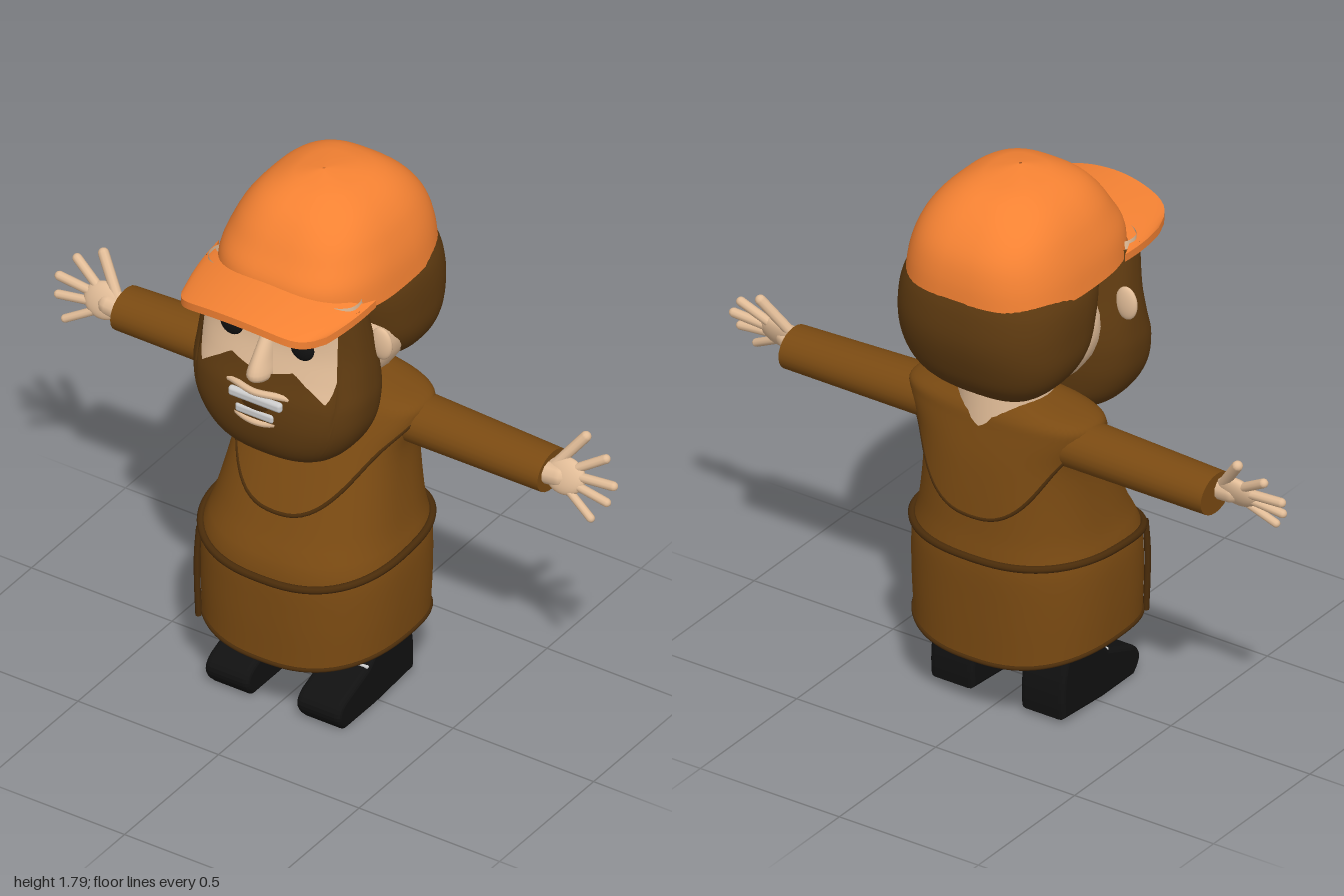
import * as THREE from 'three';
import { RoundedBoxGeometry } from 'three/addons/geometries/RoundedBoxGeometry.js';

const mat = (color) => new THREE.MeshStandardMaterial({ color, side: THREE.DoubleSide });
const robeMat = mat(0x7a4a12), hairMat = mat(0x5e3a10), skinMat = mat(0xe2bd98), capMat = mat(0xf58233);
const blackMat = mat(0x111111), whiteMat = mat(0xdddddd), trimMat = mat(0x4a2c0a);
const V = (x, y, z) => new THREE.Vector3(x, y, z);

// Smooth surface through rings [y, front z, back z, half width]; angle 0 faces +z, PI/2 faces +x
function surface(rings, power = 0.8) {
  const slope = (i, k) => {
    const a = rings[Math.max(i - 1, 0)], b = rings[Math.min(i + 1, rings.length - 1)];
    return (b[k] - a[k]) / (b[0] - a[0]);
  };
  const soft = (v) => Math.sign(v) * Math.abs(v) ** power;
  return (y, angle, offset = 0) => {
    let i = 0;
    while (i < rings.length - 2 && y > rings[i + 1][0]) i++;
    const h = rings[i + 1][0] - rings[i][0];
    const t = THREE.MathUtils.clamp((y - rings[i][0]) / h, 0, 1);
    const value = (k) =>
      (1 + 2 * t) * (1 - t) ** 2 * rings[i][k] + t * t * (3 - 2 * t) * rings[i + 1][k] +
      h * (t * (1 - t) ** 2 * slope(i, k) + t * t * (t - 1) * slope(i + 1, k));
    const front = value(1), back = value(2);
    const rx = Math.max(value(3) + offset, 0.001), rz = Math.max((front - back) / 2 + offset, 0.001);
    return V(rx * soft(Math.sin(angle)), y, (front + back) / 2 + rz * soft(Math.cos(angle)));
  };
}

// Skin of a surface between two heights that may depend on the angle
function wrap(f, low, high, offset = 0, around = 64, up = 24) {
  const pos = [], idx = [];
  for (let j = 0; j <= up; j++)
    for (let i = 0; i < around; i++) {
      const a = (i / around) * Math.PI * 2;
      const s = a > Math.PI ? a - 2 * Math.PI : a;
      pos.push(...f(THREE.MathUtils.lerp(low(s), high(s), j / up), a, offset).toArray());
    }
  for (let j = 0; j < up; j++)
    for (let i = 0; i < around; i++) {
      const a = j * around + i, b = j * around + (i + 1) % around;
      idx.push(a, b, b + around, a, b + around, a + around);
    }
  const g = new THREE.BufferGeometry();
  g.setAttribute('position', new THREE.Float32BufferAttribute(pos, 3));
  g.setIndex(idx);
  g.computeVertexNormals();
  return g;
}

const tube = (points, r, closed = false, n = 32) =>
  new THREE.TubeGeometry(new THREE.CatmullRomCurve3(points, closed), n, r, 8, closed);
const around = (fn, n = 48) => Array.from({ length: n }, (_, i) => fn((i / n) * 2 * Math.PI));

export function createModel() {
  const model = new THREE.Group();
  const add = (name, geometry, material, parent = model) => {
    const m = new THREE.Mesh(geometry, material);
    m.name = name;
    parent.add(m);
    return m;
  };
  const ball = (name, material, p, s, parent) => {
    const m = add(name, new THREE.SphereGeometry(1, 24, 16), material, parent);
    m.position.set(...p);
    m.scale.set(...s);
    return m;
  };
  const limb = (name, a, b, r, material, parent) => {
    const d = b.clone().sub(a);
    const m = add(name, new THREE.CapsuleGeometry(r, d.length(), 4, 10), material, parent);
    m.position.copy(a).add(b).multiplyScalar(0.5);
    m.quaternion.setFromUnitVectors(V(0, 1, 0), d.normalize());
    return m;
  };

  // Robe with dipping hem
  const robe = surface([[0.22, 0.28, -0.32, 0.325], [0.4, 0.28, -0.325, 0.333], [0.55, 0.27, -0.325, 0.328],
    [0.63, 0.23, -0.312, 0.305], [0.8, 0.145, -0.297, 0.28], [0.9, 0.09, -0.285, 0.28],
    [1.0, 0.02, -0.265, 0.31], [1.04, -0.01, -0.255, 0.29], [1.08, -0.06, -0.22, 0.13]]);
  const hem = (a) => 0.22 + 0.045 * Math.sin(a) ** 2;
  add('robe', wrap(robe, hem, () => 1.08), robeMat);
  add('hemTrim', tube(around((a) => robe(hem(a), a)), 0.007, true, 96), trimMat);

  // Shoulder cape
  const capeEdge = (a) => 0.705 + 0.3 * Math.sin(a) ** 2;
  add('cape', wrap(robe, capeEdge, () => 1.08, 0.014), robeMat);
  add('capeEdge', tube(around((a) => robe(capeEdge(a), a, 0.01)), 0.007, true, 96), trimMat);

  // Rope belt and hanging cord
  const beltY = (a) => 0.56 - 0.03 * Math.cos(a) - 0.02 * Math.cos(a) ** 2 + 0.01 * Math.sin(a) ** 2;
  add('belt', tube(around((a) => robe(beltY(a), a, 0.006)), 0.012, true, 96), trimMat);
  add('beltCord', tube([0.54, 0.45, 0.35, 0.23].map((y) => robe(y, -0.86, 0.012)), 0.01), trimMat);

  // Face and beard share one surface
  const face = surface([[0.905, 0.16, 0.13, 0.04], [0.93, 0.23, 0.06, 0.14], [0.98, 0.285, -0.01, 0.22],
    [1.07, 0.31, -0.035, 0.28], [1.17, 0.305, -0.04, 0.3], [1.25, 0.28, -0.03, 0.296],
    [1.35, 0.255, 0, 0.285], [1.52, 0.245, 0.05, 0.27]]);
  const edge = [[0, 1.25], [0.3, 1.28], [0.45, 1.25], [0.75, 1.2], [0.88, 1.26], [0.95, 1.5], [4, 1.5]];
  const beardTop = (s) => {
    const a = Math.abs(s), i = edge.findIndex((e) => e[0] > a);
    return THREE.MathUtils.mapLinear(a, edge[i - 1][0], edge[i][0], edge[i - 1][1], edge[i][1]);
  };
  add('face', wrap(face, () => 1.1, () => 1.52, -0.01), skinMat);
  add('beard', wrap(face, () => 0.905, beardTop, 0, 128, 32), hairMat);
  ball('skull', skinMat, [0, 1.27, -0.08], [0.26, 0.2, 0.24]);
  add('neck', new THREE.CylinderGeometry(0.14, 0.15, 0.25, 32), skinMat).position.set(0, 1.12, -0.13);

  // Hair at the back of the head
  const hair = surface([[1.09, -0.2, -0.24, 0.05], [1.11, -0.16, -0.29, 0.14], [1.17, -0.05, -0.36, 0.23],
    [1.25, 0.02, -0.4, 0.28], [1.35, 0.06, -0.425, 0.292], [1.45, 0.085, -0.42, 0.286], [1.52, 0.085, -0.4, 0.26]]);
  add('hair', wrap(hair, () => 1.09, () => 1.52), hairMat);

  // Nose and mouth
  const nose = surface([[1.225, 0.29, 0.27, 0.01], [1.24, 0.325, 0.22, 0.035], [1.26, 0.33, 0.2, 0.038],
    [1.3, 0.31, 0.2, 0.03], [1.38, 0.25, 0.2, 0.02]], 1);
  add('nose', wrap(nose, () => 1.225, () => 1.38, 0, 24, 12), skinMat);
  const lip = [[-0.12, 1.185], [0, 1.198], [0.12, 1.185], [0.085, 1.11], [0, 1.092], [-0.085, 1.11]];
  const bend = (x) => 0.311 - 2.2 * x * x;
  add('lips', tube(lip.map(([x, y]) => V(x, y, bend(x))), 0.011, true, 64), skinMat);
  ball('mouthInside', trimMat, [0, 1.145, 0.27], [0.11, 0.05, 0.042]);
  [[1.168, 0.19], [1.12, 0.14]].forEach(([y, w]) => {
    const g = new RoundedBoxGeometry(w, 0.034, 0.03, 3, 0.012);
    g.scale(1, 1, 1.2);
    add('teeth', g, whiteMat).position.set(0, y, 0.297);
  });

  // Cap dome and button-free crown
  const cap = surface([[1.46, 0.25, -0.412, 0.285], [1.55, 0.245, -0.405, 0.272], [1.62, 0.205, -0.385, 0.25],
    [1.68, 0.165, -0.345, 0.22], [1.73, 0.115, -0.29, 0.175], [1.765, 0.05, -0.225, 0.115],
    [1.785, -0.01, -0.13, 0.055], [1.79, -0.055, -0.065, 0.004]], 0.72);
  add('capCrown', wrap(cap, (a) => 1.485 - 0.015 * Math.sin(a) ** 2, () => 1.79), capMat);

  // Curved brim, a bent slab
  const brim = new THREE.BoxGeometry(2, 1, 1, 32, 1, 12);
  const bp = brim.attributes.position;
  for (let i = 0; i < bp.count; i++) {
    const u = bp.getX(i), v = bp.getZ(i) + 0.5, t = bp.getY(i);
    const inner = 0.08 + 0.13 * Math.sqrt(1 - u * u), outer = 0.43 - 0.045 * u * u - 0.085 * u ** 10;
    bp.setXYZ(i, u * (0.28 - 0.03 * v * v),
      1.54 - 0.02 * v - 0.05 * u * u + t * 0.025, THREE.MathUtils.lerp(inner, outer, v));
  }
  brim.computeVertexNormals();
  add('capBrim', brim, capMat);

  // Shoe side outline (z, y)
  const shoeShape = new THREE.Shape();
  shoeShape.moveTo(-0.17, 0.03);
  shoeShape.lineTo(0.02, 0.015);
  shoeShape.lineTo(0.18, 0.015);
  shoeShape.quadraticCurveTo(0.23, 0.06, 0.18, 0.09);
  shoeShape.quadraticCurveTo(0.1, 0.12, 0.05, 0.14);
  shoeShape.lineTo(-0.02, 0.21);
  shoeShape.lineTo(-0.15, 0.205);
  shoeShape.quadraticCurveTo(-0.18, 0.12, -0.17, 0.03);

  for (const s of [1, -1]) {
    const side = new THREE.Group();
    side.name = s > 0 ? 'leftSide' : 'rightSide';
    model.add(side);

    // Eye, brow and ear
    ball('eye', blackMat, [s * 0.125, 1.36, 0.24], [0.04, 0.04, 0.02], side);
    const brow = add('eyebrow', tube([[0.13, 1.4], [0.25, 1.425], [0.4, 1.432], [0.66, 1.405]]
      .map(([a, y]) => face(y, s * a, -0.004)), 0.015), hairMat, side);
    brow.castShadow = false;
    ball('ear', skinMat, [s * 0.292, 1.345, 0.07], [0.038, 0.055, 0.016], side);

    // Sleeve
    const sleeve = add('sleeve', new THREE.CylinderGeometry(0.066, 0.076, 0.58, 24), robeMat, side);
    sleeve.rotation.z = -s * (Math.PI / 2 + 0.02);
    sleeve.scale.z = 1.22;
    sleeve.position.set(s * 0.47, 0.955, -0.14);

    // Hand, tilted so the thumb lies further back
    const hp = (x, y) => V(s * x, y, -0.125 - 0.42 * (y - 0.98));
    limb('wrist', hp(0.72, 0.955), hp(0.8, 0.96), 0.036, skinMat, side);
    const palm = ball('palm', skinMat, hp(0.82, 0.965).toArray(), [0.07, 0.058, 0.025], side);
    palm.rotation.x = -0.4;
    [[0.775, 0.98, 0.858, 1.09, 0.017], [0.85, 0.995, 0.94, 1.05, 0.015], [0.86, 0.975, 0.985, 0.985, 0.015],
      [0.86, 0.95, 0.975, 0.935, 0.014], [0.84, 0.93, 0.935, 0.877, 0.013]].forEach(([x0, y0, x1, y1, r], i) =>
      limb(i ? 'finger' : 'thumb', hp(x0, y0), hp(x1, y1), r, skinMat, side));

    // Leg, shoe and laces
    add('sock', new THREE.CylinderGeometry(0.062, 0.062, 0.35, 24), whiteMat, side)
      .position.set(s * 0.163, 0.37, -0.095);
    const shoe = new THREE.ExtrudeGeometry(shoeShape,
      { depth: 0.12, bevelThickness: 0.018, bevelSize: 0.013, bevelSegments: 3, curveSegments: 8 });
    shoe.translate(0, 0, -0.06);
    shoe.rotateY(-Math.PI / 2);
    add('shoe', shoe, blackMat, side).position.set(s * 0.163, 0, 0);
    for (let i = 0; i < 4; i++) {
      const lace = add('lace', new RoundedBoxGeometry(0.145, 0.01, 0.012, 2, 0.004), whiteMat, side);
      lace.position.set(s * 0.163, 0.15 + i * 0.02, 0.055 - i * 0.02);
    }
  }
  return model;
}
